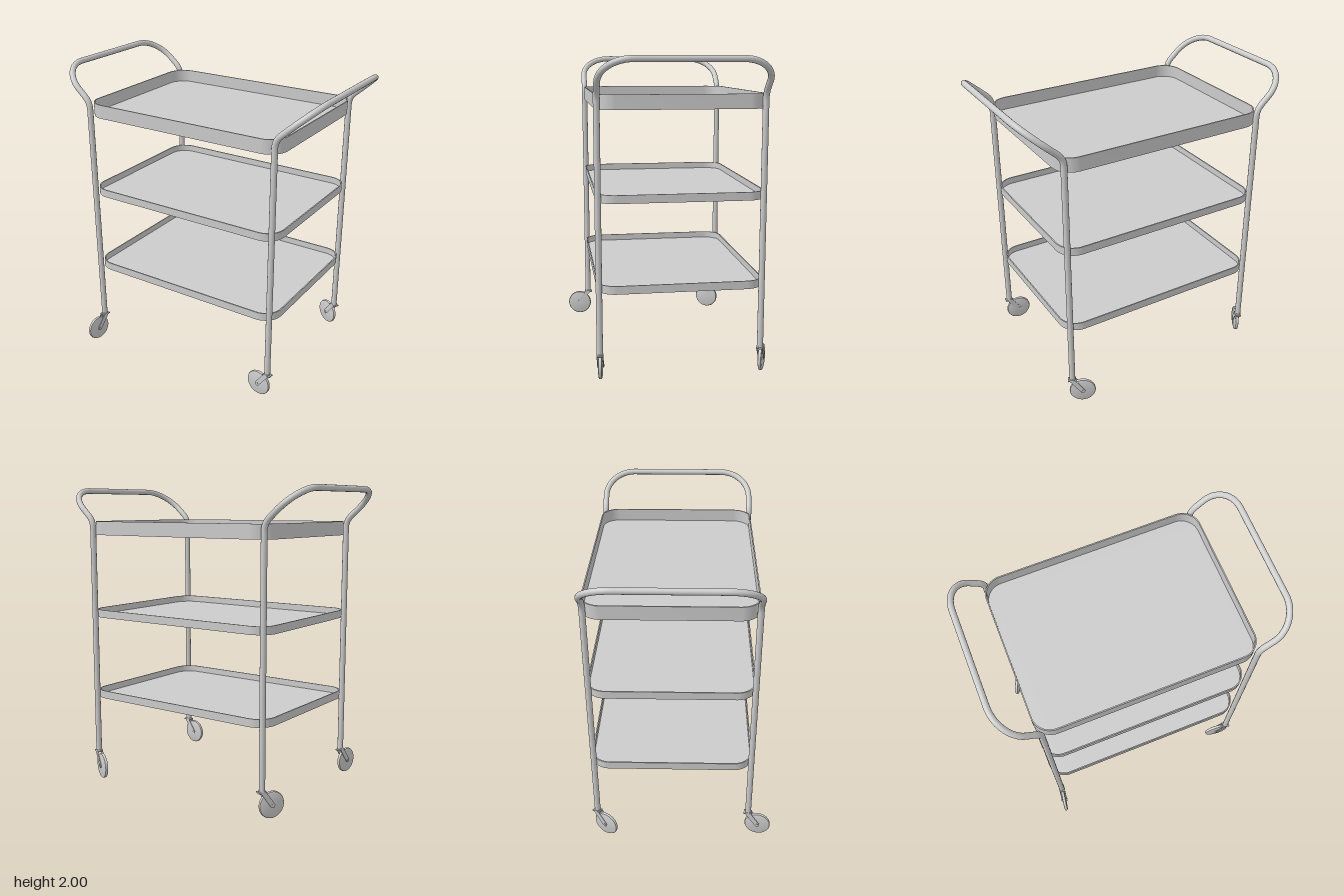
import * as THREE from 'three';
import { toCreasedNormals } from 'three/addons/utils/BufferGeometryUtils.js';

const grey = new THREE.MeshStandardMaterial({ color: 0xcccccc });
const CENTRE_Z = -0.038, LEG_X = 0.683, LEG_Z = 0.509, TUBE_R = 0.0195;

function part(name, geometry, parent, x = 0, y = 0, z = 0) {
  const mesh = new THREE.Mesh(geometry, grey);
  mesh.name = name;
  mesh.position.set(x, y, z);
  parent.add(mesh);
  return mesh;
}

// Rounded rectangle outline centred on the origin
function roundedRect(Type, hx, hy, r) {
  const s = new Type();
  s.absarc(hx - r, hy - r, r, 0, Math.PI / 2);
  s.absarc(-hx + r, hy - r, r, Math.PI / 2, Math.PI);
  s.absarc(-hx + r, -hy + r, r, Math.PI, Math.PI * 1.5);
  s.absarc(hx - r, -hy + r, r, Math.PI * 1.5, Math.PI * 2);
  s.closePath();
  return s;
}

function extrude(shape, depth) {
  return toCreasedNormals(new THREE.ExtrudeGeometry(shape, { depth, bevelEnabled: false, curveSegments: 12 }), 0.6);
}

// Shallow tray: flat floor with an upright rim
function tray(name, y, height) {
  const g = new THREE.Group();
  g.name = name;
  const hx = 0.708, hz = 0.521, r = 0.12, t = 0.008;
  const rim = roundedRect(THREE.Shape, hx, hz, r);
  rim.holes.push(roundedRect(THREE.Path, hx - t, hz - t, r - t));
  part('trayRim', extrude(rim, height).rotateX(-Math.PI / 2), g);
  const floor = roundedRect(THREE.Shape, hx - t, hz - t, r - t);
  part('trayFloor', extrude(floor, 0.008).rotateX(-Math.PI / 2), g);
  g.position.set(0, y, CENTRE_Z - 0.006);
  return g;
}

// One continuous bent tube: leg, sloped handle loop, leg
function sideFrame(side) {
  const v = (x, y, z) => new THREE.Vector3(side * x, y, z);
  const path = new THREE.CurvePath();
  const K = 0.5523, top = [0.909, 1.98], start = [0.765, 1.852], rz = 0.2;
  const mix = (i) => start[i] + (top[i] - start[i]) * K;
  // Half of the loop as [type, points], from the foot up to the grip
  const half = (s) => [
    [v(LEG_X, 0.175, s * LEG_Z), v(LEG_X, 1.73, s * LEG_Z)],
    [v(LEG_X, 1.73, s * LEG_Z), v(LEG_X, 1.779, s * LEG_Z), v(0.72, 1.812, s * LEG_Z)],
    [v(0.72, 1.812, s * LEG_Z), v(...start, s * LEG_Z)],
    [v(...start, s * LEG_Z), v(mix(0), mix(1), s * LEG_Z),
      v(...top, s * (LEG_Z - rz + rz * K)), v(...top, s * (LEG_Z - rz))],
  ];
  const kinds = { 2: THREE.LineCurve3, 3: THREE.QuadraticBezierCurve3, 4: THREE.CubicBezierCurve3 };
  const add = (p) => path.add(new kinds[p.length](...p));
  half(1).forEach(add);
  add([v(...top, LEG_Z - rz), v(...top, rz - LEG_Z)]);
  half(-1).reverse().forEach((p) => add(p.reverse()));
  return new THREE.TubeGeometry(path, 220, TUBE_R, 16, false);
}

// Swivel caster trailing along local +x, with its pivot under the leg
function caster(name, x, z, dx, dz) {
  const g = new THREE.Group();
  g.name = name;
  const trail = 0.066, axleY = 0.086, wheelR = 0.086;
  // Wheel with slightly rounded tread
  const profile = [[0, -0.012], [0.074, -0.012], [0.083, -0.009], [wheelR, -0.004],
    [wheelR, 0.004], [0.083, 0.009], [0.074, 0.012], [0, 0.012]].map((p) => new THREE.Vector2(...p));
  const wheel = toCreasedNormals(new THREE.LatheGeometry(profile, 40), 0.6).rotateX(Math.PI / 2);
  part('wheel', wheel, g, trail, axleY);
  part('axle', new THREE.CylinderGeometry(0.008, 0.008, 0.046, 16).rotateX(Math.PI / 2), g, trail, axleY);
  // Slanted fork arms, rounded about the axle
  const r = 0.016, a = Math.atan2(0.172 - axleY, -trail);
  const arm = new THREE.Shape();
  arm.moveTo(0.022, 0.174);
  arm.lineTo(-0.018, 0.174);
  arm.absarc(trail, axleY, r, a + Math.PI / 2, a + Math.PI * 1.5);
  arm.closePath();
  for (const s of [-1, 1]) part('forkArm', extrude(arm, 0.004), g, 0, 0, s * 0.018 - 0.002);
  // Swivel plate and stem cap
  part('swivelPlate', new THREE.BoxGeometry(0.054, 0.008, 0.04), g, -0.002, 0.175, 0);
  part('stemCap', new THREE.CylinderGeometry(0.022, 0.022, 0.012, 20), g, 0, 0.18, 0);
  g.position.set(x, 0, z);
  g.rotation.y = Math.atan2(-dz, dx);
  return g;
}

export function createModel() {
  const model = new THREE.Group();
  model.name = 'servingTrolley';
  part('leftFrame', sideFrame(1), model, 0, 0, CENTRE_Z);
  part('rightFrame', sideFrame(-1), model, 0, 0, CENTRE_Z);

  model.add(
    tray('topTray', 1.685, 0.09),
    tray('middleTray', 1.13, 0.052),
    tray('bottomTray', 0.57, 0.052),
  );

  // Each caster is swivelled its own way
  const front = CENTRE_Z + LEG_Z, back = CENTRE_Z - LEG_Z;
  model.add(
    caster('frontLeftCaster', LEG_X, front, -1, -0.12),
    caster('frontRightCaster', -LEG_X, front, -0.17, 1),
    caster('backLeftCaster', LEG_X, back, -0.137, -0.065),
    caster('backRightCaster', -LEG_X, back, -0.07, 0.13),
  );
  return model;
}
